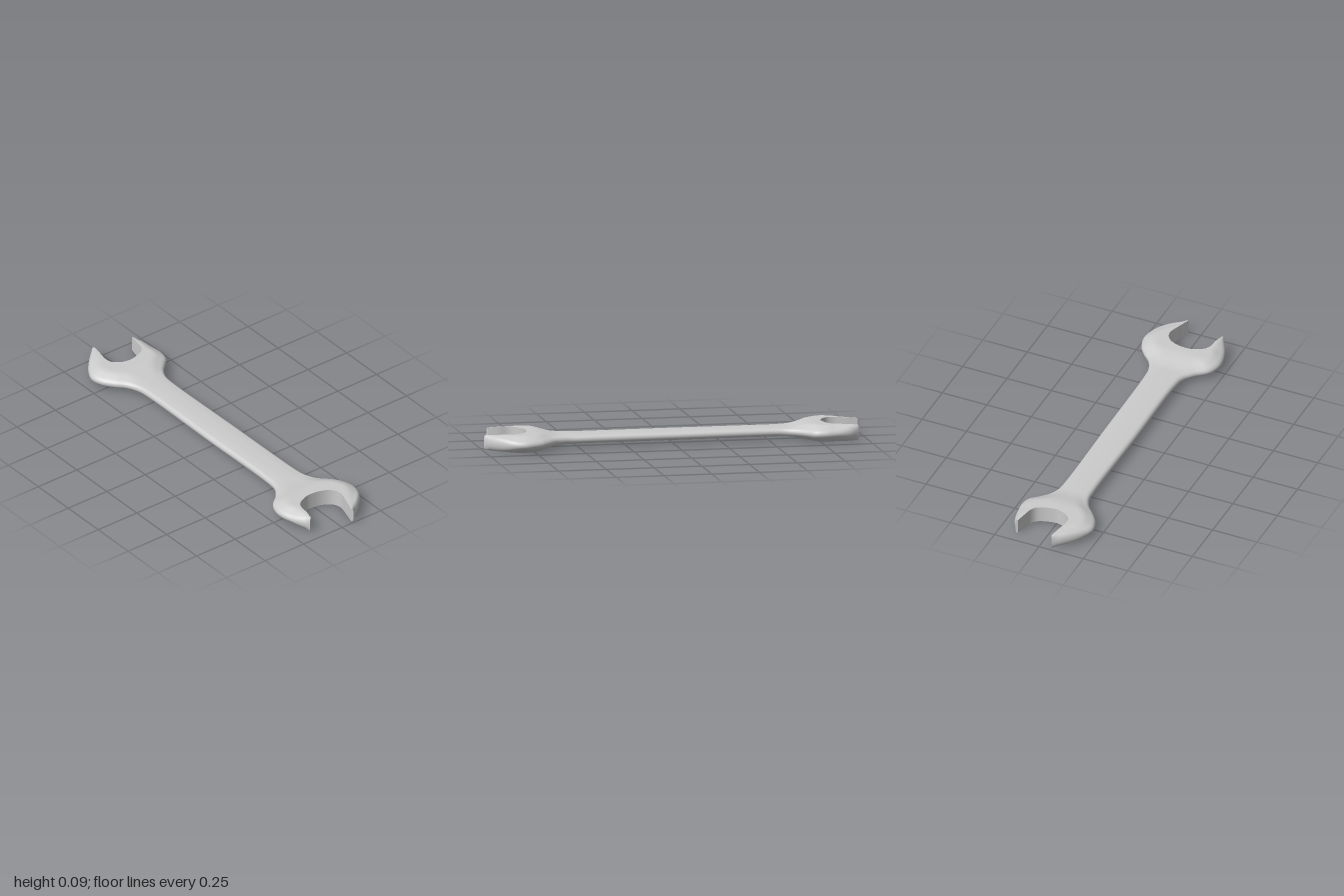
import * as THREE from 'three';
import { mergeGeometries, mergeVertices } from 'three/addons/utils/BufferGeometryUtils.js';

const MID = 0.045; // height of the plane of symmetry
const M = 12;      // steps from the outer edge to the inner line
const S = 8;       // steps per outline segment
const SEG = 18;    // outline segments: 6 left jaw, 6 handle, 6 right jaw

// Outlines as [x, z], from the left-hand tip to the right-hand tip in plan
const backOutline = [
  [-0.945, -0.158], [-0.9, -0.182], [-0.82, -0.2], [-0.765, -0.204], [-0.715, -0.192], [-0.675, -0.152],
  [-0.635, -0.115], [-0.58, -0.088], [-0.5, -0.081], [0, -0.085], [0.5, -0.09], [0.565, -0.098],
  [0.625, -0.125], [0.675, -0.172], [0.72, -0.207], [0.8, -0.231], [0.87, -0.213], [0.945, -0.15], [1, -0.075],
];
const frontOutline = [
  [-1, 0.072], [-0.957, 0.12], [-0.875, 0.19], [-0.81, 0.218], [-0.745, 0.203], [-0.69, 0.165],
  [-0.64, 0.12], [-0.58, 0.093], [-0.5, 0.086], [0, 0.088], [0.5, 0.088], [0.565, 0.1],
  [0.62, 0.138], [0.675, 0.198], [0.73, 0.221], [0.78, 0.222], [0.85, 0.204], [0.9, 0.183], [0.938, 0.162],
];
// Jaw openings, from the back tip round to the front tip
const smallJaw = [
  [-0.94, -0.145], [-0.885, -0.133], [-0.835, -0.121], [-0.81, -0.105], [-0.793, -0.075], [-0.782, -0.035],
  [-0.778, 0], [-0.788, 0.04], [-0.808, 0.07], [-0.83, 0.086], [-0.865, 0.089], [-0.93, 0.074], [-0.985, 0.064],
];
const largeJaw = [
  [0.988, -0.066], [0.92, -0.088], [0.85, -0.106], [0.815, -0.097], [0.79, -0.075], [0.772, -0.04],
  [0.764, 0], [0.764, 0.045], [0.78, 0.09], [0.8, 0.117], [0.83, 0.132], [0.88, 0.137], [0.932, 0.149],
];
const centreX = [-0.778, -0.66, -0.5, 0, 0.5, 0.64, 0.764];

const curve = (pts) => new THREE.CatmullRomCurve3(pts.map(([x, z]) => new THREE.Vector3(x, 0, z)));
const smallCurve = curve(smallJaw);
const largeCurve = curve(largeJaw);

// Inner end of a rung: on a jaw opening or on the handle's centre line
function innerPoint(s, front) {
  if (s <= 6) return smallCurve.getPoint((front ? 12 - s : s) / 12);
  if (s >= 12) return largeCurve.getPoint((front ? s - 6 : 18 - s) / 12);
  const k = Math.floor(s - 6);
  return new THREE.Vector3(THREE.MathUtils.lerp(centreX[k], centreX[k + 1], s - 6 - k), 0, 0);
}

// Half thickness at a distance d from the rounded outer edge
function halfHeight(x, d, width) {
  const { lerp, smoothstep } = THREE.MathUtils;
  const ax = Math.abs(x);
  const full = lerp(0.024, 0.044, smoothstep(ax, 0.58, 0.73)) - 0.006 * smoothstep(ax, 0.85, 1);
  const edge = lerp(0.02, 0.034, smoothstep(ax, 0.82, 0.95));
  const roll = Math.min(1, d / Math.min(0.02, width * 0.5));
  const bevel = Math.min(0.07, width * 0.8);
  return Math.sqrt(1 - (1 - roll) ** 2) * lerp(edge, full, smoothstep(d, 0, bevel));
}

// Surface through rows of points
function grid(rows, flip) {
  const n = rows[0].length;
  const index = [];
  for (let i = 0; i < rows.length - 1; i++) {
    for (let j = 0; j < n - 1; j++) {
      const a = i * n + j, b = a + 1, c = a + n, d = c + 1;
      index.push(...(flip ? [a, c, b, b, c, d] : [a, b, c, b, d, c]));
    }
  }
  const g = new THREE.BufferGeometry().setFromPoints(rows.flat());
  g.setIndex(index);
  return g;
}

// Cross-sections of one half, each running bottom inner, outer edge, top inner
function sections(outline, front) {
  const outer = curve(outline);
  const rows = [];
  for (let i = 0; i <= SEG * S; i++) {
    const s = i / S;
    const o = outer.getPoint(s / SEG);
    const p = innerPoint(s, front);
    const width = o.distanceTo(p);
    const row = [];
    for (let k = -M; k <= M; k++) {
      const u = (k / M) ** 2;
      const v = o.clone().lerp(p, u);
      v.y = MID + Math.sign(k) * halfHeight(v.x, u * width, width);
      row.push(v);
    }
    rows.push(row);
  }
  return rows;
}

export function createModel() {
  const group = new THREE.Group();
  const material = new THREE.MeshStandardMaterial({ color: 0xcccccc });
  const skin = [], walls = [], tips = [];

  for (const front of [false, true]) {
    const rows = sections(front ? frontOutline : backOutline, front);
    skin.push(grid(rows, front));

    // Upright walls of the two openings
    const wall = rows.map((r) => [r[2 * M], r[0]]);
    walls.push(grid(wall.slice(0, 6 * S + 1), front), grid(wall.slice(12 * S), front));

    // Small end faces of the prongs
    const cap = (r) => r.slice(0, M + 1).map((p, j) => [p, r[2 * M - j]]);
    tips.push(grid(cap(rows[0]), front), grid(cap(rows[rows.length - 1]), !front));
  }

  const add = (name, parts) => {
    const g = mergeVertices(mergeGeometries(parts), 1e-5);
    g.computeVertexNormals();
    const mesh = new THREE.Mesh(g, material);
    mesh.name = name;
    group.add(mesh);
  };
  add('wrenchBody', skin);
  add('jawWalls', walls);
  add('prongTips', tips);
  group.name = 'openEndWrench';
  return group;
}
